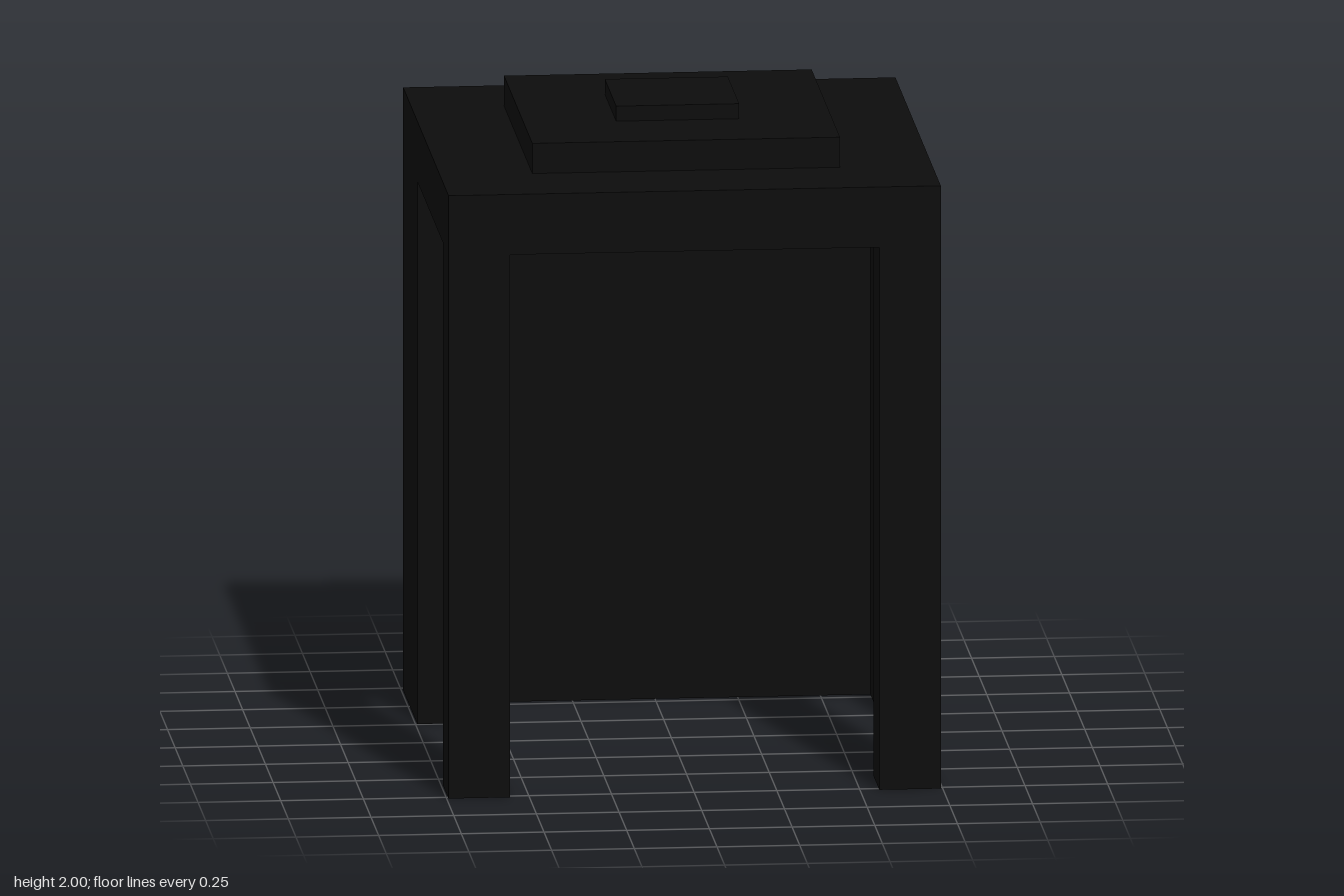
import * as THREE from 'three';

export function createModel() {
  const model = new THREE.Group();
  const black = new THREE.MeshStandardMaterial({ color: 0x0d0d0d });
  black.name = 'black';

  const u = 2 / 21.5; // modelling unit
  const zc = u / 4; // centre of the canopy, shifted by the rear strips

  // Box from min/max corners, given in modelling units around the canopy centre
  function box(name, x0, x1, y0, y1, z0, z1) {
    const geo = new THREE.BoxGeometry((x1 - x0) * u, (y1 - y0) * u, (z1 - z0) * u);
    const mesh = new THREE.Mesh(geo, black);
    mesh.name = name;
    mesh.position.set((x0 + x1) / 2 * u, (y0 + y1) / 2 * u, (z0 + z1) / 2 * u + zc);
    model.add(mesh);
  }

  // Stepped roof and the panel hanging beneath it
  box('roofSlab', -8, 8, 18, 20, -8, 8);
  box('roofTier', -5, 5, 20, 21, -5, 5);
  box('roofCap', -2, 2, 21, 21.5, -2, 2);
  box('ceilingPanel', -3, 3, 17.5, 18, -3, 3);

  // Back wall
  box('backWall', -8, 8, 0, 18, -8, -6);

  // Front legs, side wings and rear strips, mirrored
  for (const [side, s] of [['left', 1], ['right', -1]]) {
    const pair = (name, a, b, y1, z0, z1) =>
      box(side + name, Math.min(a * s, b * s), Math.max(a * s, b * s), 0, y1, z0, z1);
    pair('FrontLeg', 6, 8, 18, 6, 8);
    pair('SideWing', 7, 8, 18, -6, -3);
    pair('RearStrip', 4, 5, 18, -8.5, -8);
  }
  return model;
}
